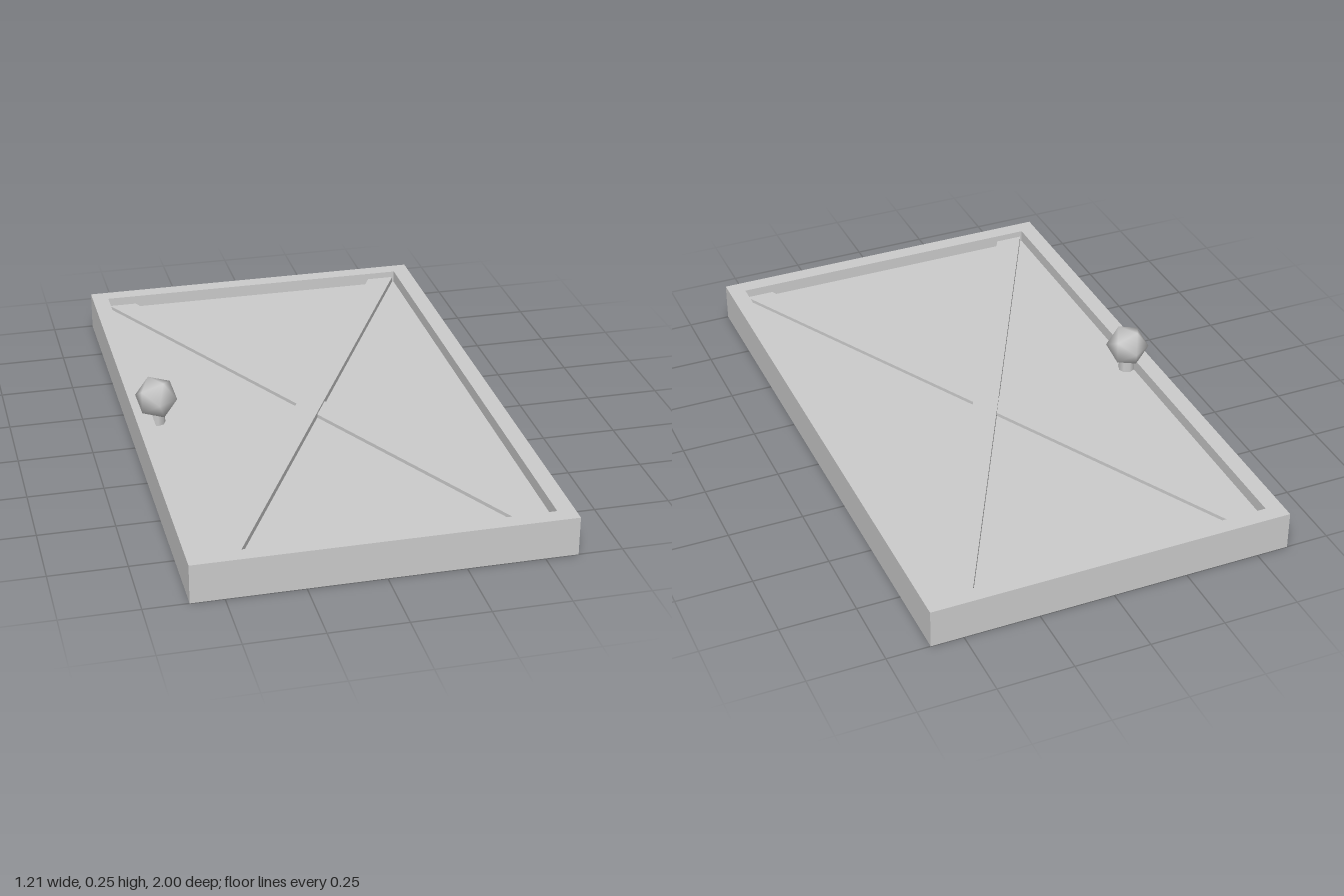
import * as THREE from 'three';

const W = 0.607, L = 1.0, H = 0.13;      // half width, half length, thickness
const IN_W = 0.55, IN_L = 0.945;         // half size of the recess
const FLOOR = 0.088;                     // height of the recessed panel

export function createModel() {
  const group = new THREE.Group();
  const material = new THREE.MeshStandardMaterial({ color: 0xcccccc });

  const add = (name, geometry, x = 0, y = 0, z = 0) => {
    const mesh = new THREE.Mesh(geometry, material);
    mesh.name = name;
    mesh.position.set(x, y, z);
    group.add(mesh);
  };
  const points = list => list.map(p => new THREE.Vector2(...p));
  const rect = (w, l) => points([[-w, -l], [w, -l], [w, l], [-w, l]]);
  // plan outline extruded upwards
  const slab = (shape, depth) =>
    new THREE.ExtrudeGeometry(shape, { depth, bevelEnabled: false }).rotateX(-Math.PI / 2);

  // raised border
  const border = new THREE.Shape(rect(W, L));
  border.holes.push(new THREE.Path(rect(IN_W, IN_L)));
  add('frame', slab(border, H));

  // recessed panel
  add('panel', new THREE.BoxGeometry(IN_W * 2, FLOOR, IN_L * 2), 0, FLOOR / 2, 0);

  // two crossing diagonal braces, one slightly prouder than the other
  for (const [name, side, top] of [['upperBrace', 1, 0.108], ['lowerBrace', -1, 0.1]]) {
    const a = side * 0.544, b = side * 0.449;
    const plan = new THREE.Shape(points([[a, IN_L], [b, IN_L], [-a, -IN_L], [-b, -IN_L]]));
    add(name, slab(plan, top - FLOOR), 0, FLOOR, 0);
  }

  // faceted knob with smooth normals, one vertex towards the front
  const knob = new THREE.IcosahedronGeometry(0.073, 0);
  const t = (1 + Math.sqrt(5)) / 2;
  knob.rotateX(Math.atan(1 / t)).rotateZ(Math.PI / 2);
  knob.setAttribute('normal', knob.attributes.position.clone());
  knob.normalizeNormals();
  add('knob', knob, -0.53, 0.183, 0);

  // short stem under the knob
  add('knobStem', new THREE.CylinderGeometry(0.028, 0.028, 0.06, 8), -0.53, FLOOR + 0.03, 0);

  return group;
}
